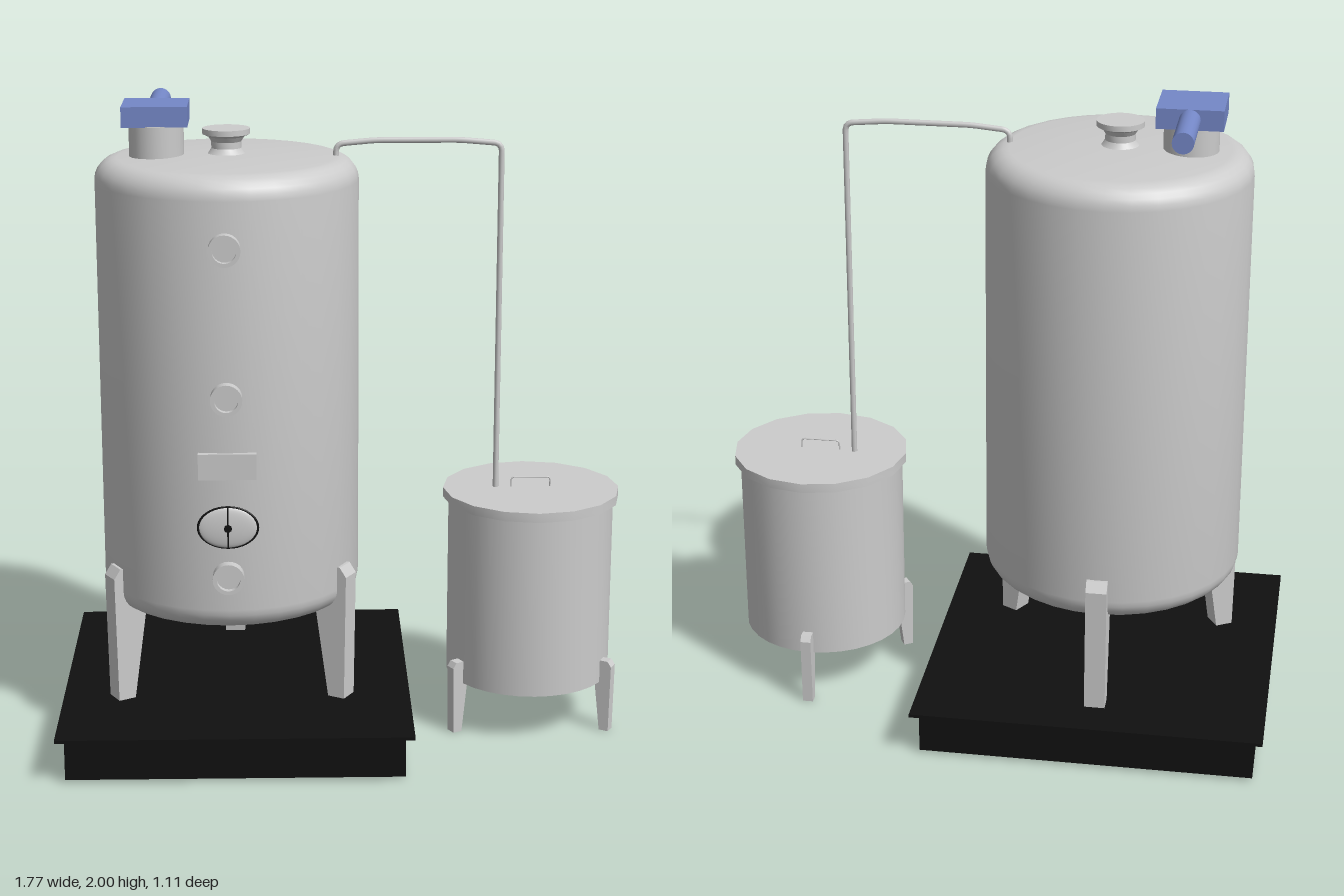
import * as THREE from 'three';
import { toCreasedNormals } from 'three/addons/utils/BufferGeometryUtils.js';

const grey = new THREE.MeshStandardMaterial({ color: 0xcccccc });
const black = new THREE.MeshStandardMaterial({ color: 0x101010 });
const blue = new THREE.MeshStandardMaterial({ color: 0x7588c8 });

const V = (x, y, z) => new THREE.Vector3(x, y, z);

function add(parent, name, geometry, material, x = 0, y = 0, z = 0) {
  const mesh = new THREE.Mesh(geometry, material);
  mesh.name = name;
  mesh.position.set(x, y, z);
  parent.add(mesh);
  return mesh;
}

// Turned part from [radius, height] pairs listed from bottom to top
function turned(profile, sides) {
  const points = profile.map(([r, y]) => new THREE.Vector2(r, y));
  return toCreasedNormals(new THREE.LatheGeometry(points, sides), 0.5);
}

// Quarter-round profile points about (r, y), angles in degrees
function arc(r, y, radius, from, to, steps = 6) {
  return Array.from({ length: steps + 1 }, (_, i) => {
    const a = THREE.MathUtils.degToRad(from + (to - from) * i / steps);
    return [r + radius * Math.cos(a), y + radius * Math.sin(a)];
  });
}

// Three tapered legs around a vessel, from a side outline in [radius, height]
function addLegs(parent, name, outline, width) {
  const shape = new THREE.Shape(outline.map(([r, y]) => new THREE.Vector2(r, y)));
  const geo = new THREE.ExtrudeGeometry(shape, { depth: width, bevelEnabled: false });
  geo.translate(0, 0, -width / 2);
  for (const deg of [-30, -150, 90]) {
    add(parent, name, geo, grey).rotation.y = THREE.MathUtils.degToRad(deg);
  }
}

// Bent pipe: straight runs with small rounded corners
function pipe(points, radius, bend) {
  const path = new THREE.CurvePath();
  let last = points[0];
  for (let i = 1; i < points.length - 1; i++) {
    const p = points[i];
    const a = p.clone().add(points[i - 1].clone().sub(p).setLength(bend));
    const b = p.clone().add(points[i + 1].clone().sub(p).setLength(bend));
    path.add(new THREE.LineCurve3(last, a));
    path.add(new THREE.QuadraticBezierCurve3(a, p, b));
    last = b;
  }
  path.add(new THREE.LineCurve3(last, points[points.length - 1]));
  return new THREE.TubeGeometry(path, 160, radius, 8);
}

function createMainTank() {
  const tank = new THREE.Group();
  tank.name = 'mainTank';
  tank.position.set(-0.355, 0, 0.005);

  // Shell with conical bottom, rounded shoulders and slightly raised top
  add(tank, 'tankShell', turned([
    [0, 0.395], [0.3, 0.435],
    ...arc(0.335, 0.51, 0.07, -90, 0),
    ...arc(0.335, 1.77, 0.07, 0, 90),
    [0.15, 1.846], [0, 1.85],
  ], 32), grey);

  addLegs(tank, 'tankLeg', [
    [0.37, 0.15], [0.427, 0.15], [0.434, 0.555], [0.412, 0.585], [0.385, 0.585], [0.325, 0.44],
  ], 0.065);

  // Flared filling neck
  add(tank, 'fillingNeck', turned([
    [0.075, 1.835], [0.055, 1.85], [0.046, 1.865], [0.046, 1.885],
    [0.056, 1.9], [0.073, 1.908], [0.073, 1.925], [0, 1.925],
  ], 24), grey);

  // Round ports up the front
  const port = turned([
    [0.048, 0.37], [0.048, 0.437], [0.036, 0.437], [0.036, 0.418], [0, 0.418],
  ], 24);
  for (const y of [0.62, 1.18, 1.63]) add(tank, 'sightPort', port, grey, 0, y, 0).rotation.x = Math.PI / 2;

  add(tank, 'infoPlate', new THREE.BoxGeometry(0.175, 0.08, 0.04), grey, 0, 0.97, 0.397);

  // Oval access door with dark seal, latch bar and knob
  const door = new THREE.Group();
  door.name = 'accessDoor';
  door.position.set(0, 0.778, 0.408);
  tank.add(door);
  add(door, 'doorPanel', new THREE.SphereGeometry(1, 32, 16), grey).scale.set(0.09, 0.064, 0.012);
  add(door, 'doorSeal', new THREE.TorusGeometry(0.09, 0.004, 8, 40), black).scale.y = 0.72;
  add(door, 'latchBar', new THREE.BoxGeometry(0.005, 0.126, 0.008), black, 0, 0, 0.008);
  add(door, 'latchKnob', new THREE.CylinderGeometry(0.012, 0.012, 0.012, 12), black, 0, 0, 0.01).rotation.x = Math.PI / 2;
  return tank;
}

function createDrive() {
  const drive = new THREE.Group();
  drive.name = 'agitatorDrive';
  drive.position.x = -0.57;
  add(drive, 'drivePedestal', new THREE.CylinderGeometry(0.084, 0.084, 0.12, 24), grey, 0.002, 1.88, 0.007);
  add(drive, 'gearbox', new THREE.BoxGeometry(0.2, 0.062, 0.2), blue, 0, 1.969, -0.015);
  add(drive, 'motor', new THREE.CylinderGeometry(0.032, 0.032, 0.24, 20), blue, 0, 1.968, -0.225).rotation.x = Math.PI / 2;
  return drive;
}

function createSmallTank() {
  const tank = new THREE.Group();
  tank.name = 'smallTank';
  tank.position.set(0.6, 0, 0.015);
  add(tank, 'smallTankBody', turned([[0, 0.163], [0.262, 0.163], [0.262, 0.75]], 32), grey);
  add(tank, 'smallTankLid', turned([[0, 0.745], [0.28, 0.745], [0.28, 0.775], [0, 0.775]], 16), grey);
  addLegs(tank, 'smallTankLeg', [
    [0.265, 0], [0.296, 0], [0.3, 0.22], [0.288, 0.237], [0.255, 0.237], [0.246, 0.16],
  ], 0.033);
  // Wire handle on the lid
  add(tank, 'lidHandle', pipe([
    V(-0.062, 0.77, -0.005), V(-0.062, 0.806, -0.005), V(0.062, 0.806, -0.005), V(0.062, 0.77, -0.005),
  ], 0.0025, 0.012), grey);
  return tank;
}

export function createModel() {
  const model = new THREE.Group();
  model.name = 'tankSystem';

  // Plinth with thin overhanging top
  add(model, 'plinth', new THREE.BoxGeometry(1.04, 0.13, 1.06), black, -0.339, 0.075, 0);
  add(model, 'plinthTop', new THREE.BoxGeometry(1.095, 0.01, 1.11), black, -0.339, 0.145, 0);

  model.add(createMainTank(), createDrive(), createSmallTank());

  // Transfer pipe between the two tanks
  add(model, 'transferPipe', pipe([
    V(-0.02, 1.82, 0.008), V(-0.02, 1.875, 0.008), V(0.1, 1.886, 0.008),
    V(0.36, 1.886, 0.008), V(0.488, 1.875, 0.008), V(0.488, 0.77, 0.008),
  ], 0.009, 0.025), grey);
  return model;
}
